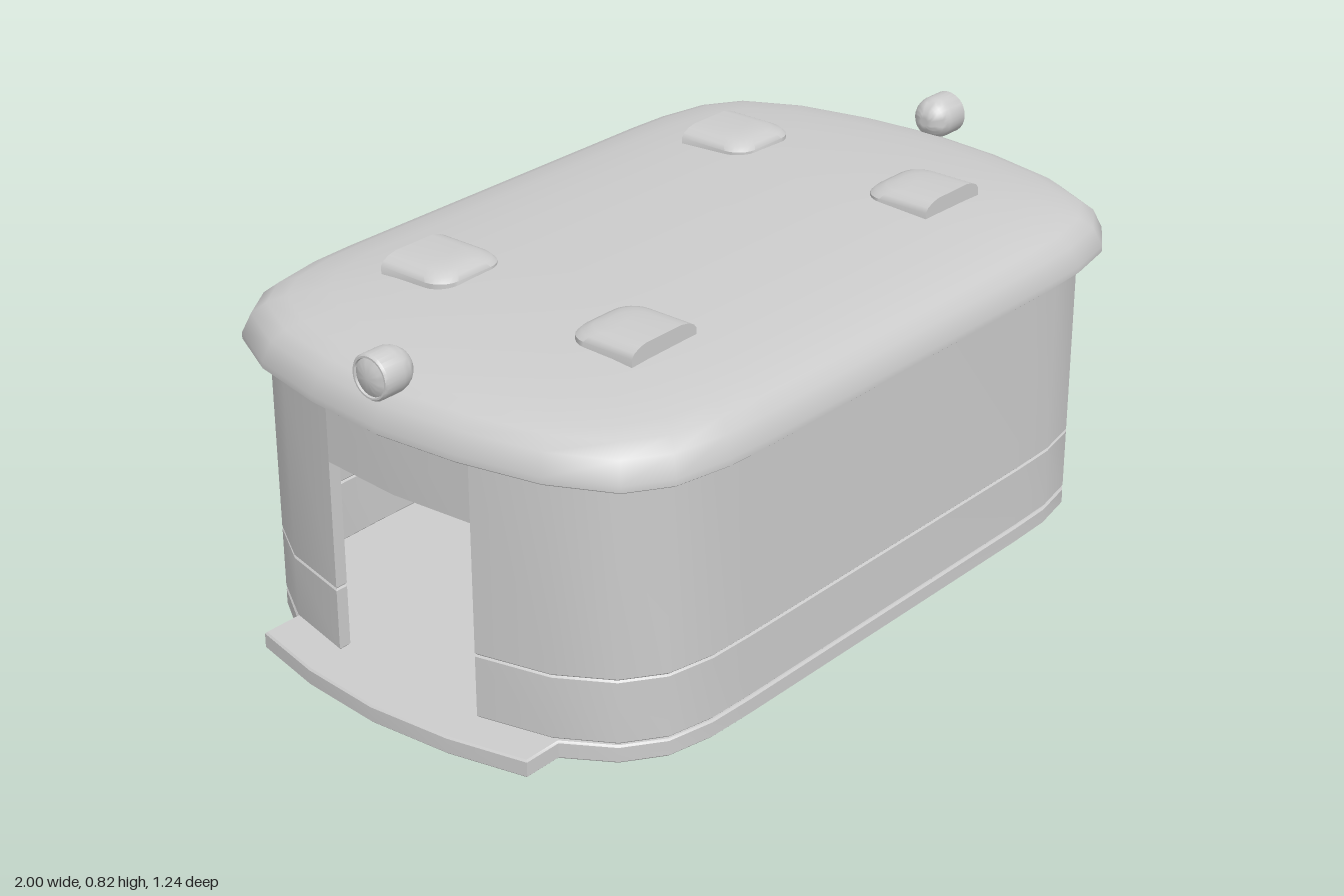
import * as THREE from 'three';
import { toCreasedNormals } from 'three/addons/utils/BufferGeometryUtils.js';

const material = new THREE.MeshStandardMaterial({ color: 0xcccccc });

function part(name, geometry, crease = 0.7) {
  const mesh = new THREE.Mesh(toCreasedNormals(geometry, crease), material);
  mesh.name = name;
  return mesh;
}

// Quarter plans as [x, z], from the end centre round to the long side
const wallQuarter = [[0.91, 0], [0.895, 0.2], [0.855, 0.37], [0.785, 0.485], [0.7, 0.545], [0.59, 0.567], [0.47, 0.57]];
const roofQuarter = [[0.947, 0], [0.93, 0.2], [0.89, 0.39], [0.82, 0.53], [0.73, 0.59], [0.6, 0.615], [0.49, 0.62]];
const floorQuarter = [[1, 0], [0.983, 0.2], [0.942, 0.382], [0.85, 0.382], ...wallQuarter.slice(3)];

const mirrorX = (pts) => [...pts, ...pts.slice().reverse().map(([x, z]) => [-x, z])];

// Mirror a quarter plan into a closed loop
function fullLoop(quarter) {
  const half = mirrorX(quarter);
  return [...half, ...half.slice(1, -1).reverse().map(([x, z]) => [x, -z])];
}

// Extrude a plan outline upward between two heights, with a fine bevel
function slab(points, y0, y1, bevel = 0.004) {
  const shape = new THREE.Shape(points.map(([x, z]) => new THREE.Vector2(x, -z)));
  const g = new THREE.ExtrudeGeometry(shape, {
    depth: y1 - y0 - 2 * bevel, bevelEnabled: bevel > 0, bevelThickness: bevel,
    bevelSize: bevel, bevelOffset: -bevel, bevelSegments: 1,
  });
  return g.rotateX(-Math.PI / 2).translate(0, y0 + bevel, 0);
}

// Skin a stack of equal-length rings, capped at both ends
function loft(rings) {
  const n = rings[0].length, pos = rings.flat(2), idx = [];
  for (let i = 0; i < rings.length - 1; i++) {
    for (let j = 0; j < n; j++) {
      const a = i * n + j, b = i * n + (j + 1) % n;
      idx.push(a, a + n, b, b, a + n, b + n);
    }
  }
  [0, rings.length - 1].forEach((r, top) => {
    const c = pos.length / 3;
    const mid = [0, 1, 2].map((k) => rings[r].reduce((s, p) => s + p[k], 0) / n);
    pos.push(...mid);
    for (let j = 0; j < n; j++) {
      const a = r * n + j, b = r * n + (j + 1) % n;
      idx.push(c, top ? b : a, top ? a : b);
    }
  });
  const g = new THREE.BufferGeometry();
  g.setAttribute('position', new THREE.Float32BufferAttribute(pos, 3));
  g.setIndex(idx);
  return g;
}

// Domed roof: the plan shrinks inward as it rises
function roofGeometry() {
  const profile = [[0.006, 0.637], [0, 0.642], [0, 0.656], [0.018, 0.7], [0.045, 0.723], [0.08, 0.737],
    [0.15, 0.752], [0.27, 0.765], [0.42, 0.773], [0.58, 0.776]];
  const plan = fullLoop(roofQuarter);
  return loft(profile.map(([d, y]) => plan.map(([x, z]) => [x * (1 - d / 0.947), y, z * (1 - d / 0.62)])));
}

// Roof hatch: square on the outer side, rounded toward the middle
function hatchGeometry(side) {
  const ring = (inset, y) => {
    const w = 0.098 - inset, r = 0.05, near = 0.172 + inset, pts = [[w, y, 0.35]];
    for (let k = 0; k <= 6; k++) {
      const a = (k / 6) * Math.PI / 2;
      pts.push([w - r + r * Math.cos(a), y, near + r - r * Math.sin(a)]);
    }
    const all = [...pts, ...pts.slice().reverse().map(([x, py, z]) => [-x, py, z])];
    const loop = all.map(([x, py, z]) => [x, py, z * side]);
    return side > 0 ? loop.reverse() : loop;
  };
  return loft([ring(0, 0.74), ring(0, 0.779), ring(0.008, 0.789), ring(0.025, 0.797), ring(0.045, 0.801)]);
}

// Lamp: round back, short barrel, rim and shallow lens
function lampGeometry() {
  const pts = [];
  for (let k = 0; k <= 8; k++) {
    const a = (k / 8) * Math.PI / 2;
    pts.push(new THREE.Vector2(0.05 * Math.sin(a), -0.052 * Math.cos(a)));
  }
  [[0.05, 0.045], [0.046, 0.05], [0.042, 0.05], [0.041, 0.045], [0.028, 0.052], [0, 0.057]]
    .forEach(([r, y]) => pts.push(new THREE.Vector2(r, y)));
  return new THREE.LatheGeometry(pts, 28).rotateZ(-Math.PI / 2);
}

export function createModel() {
  const model = new THREE.Group();
  model.name = 'cabin';

  // Floor with a step at each end
  model.add(part('floor', slab(fullLoop(floorQuarter), 0, 0.041)));

  // Two C-shaped side walls, each a lower skirt and an upper panel
  const outer = mirrorX(wallQuarter.slice(1));
  const inner = mirrorX(wallQuarter.slice(1).map(([x, z], i) => [x - 0.03, i ? z * 0.95 : z]));
  const section = [...outer, ...inner.reverse()];
  for (const s of [1, -1]) {
    const wall = new THREE.Group();
    wall.name = s > 0 ? 'frontWall' : 'backWall';
    wall.add(part('skirt', slab(section, 0.045, 0.192)), part('upperPanel', slab(section, 0.192, 0.64)));
    if (s < 0) wall.rotation.y = Math.PI;
    model.add(wall);
  }

  // Curved lintels above the open doorways
  const lintel = [[0.895, 0.2], [0.91, 0], [0.895, -0.2], [0.865, -0.2], [0.88, 0], [0.865, 0.2]];
  for (const s of [1, -1]) {
    const mesh = part('doorLintel', slab(lintel, 0.492, 0.64, 0));
    if (s < 0) mesh.rotation.y = Math.PI;
    model.add(mesh);
  }

  model.add(part('roof', roofGeometry()));

  // Four roof hatches
  for (const sx of [1, -1]) {
    for (const sz of [1, -1]) {
      const hatch = part('roofHatch', hatchGeometry(sz));
      hatch.position.x = sx * 0.485;
      model.add(hatch);
    }
  }

  // A lamp at each end of the roof
  for (const s of [1, -1]) {
    const lamp = part('lamp', lampGeometry());
    lamp.position.set(s * 0.907, 0.767, 0);
    if (s < 0) lamp.rotation.y = Math.PI;
    model.add(lamp);
  }
  return model;
}
